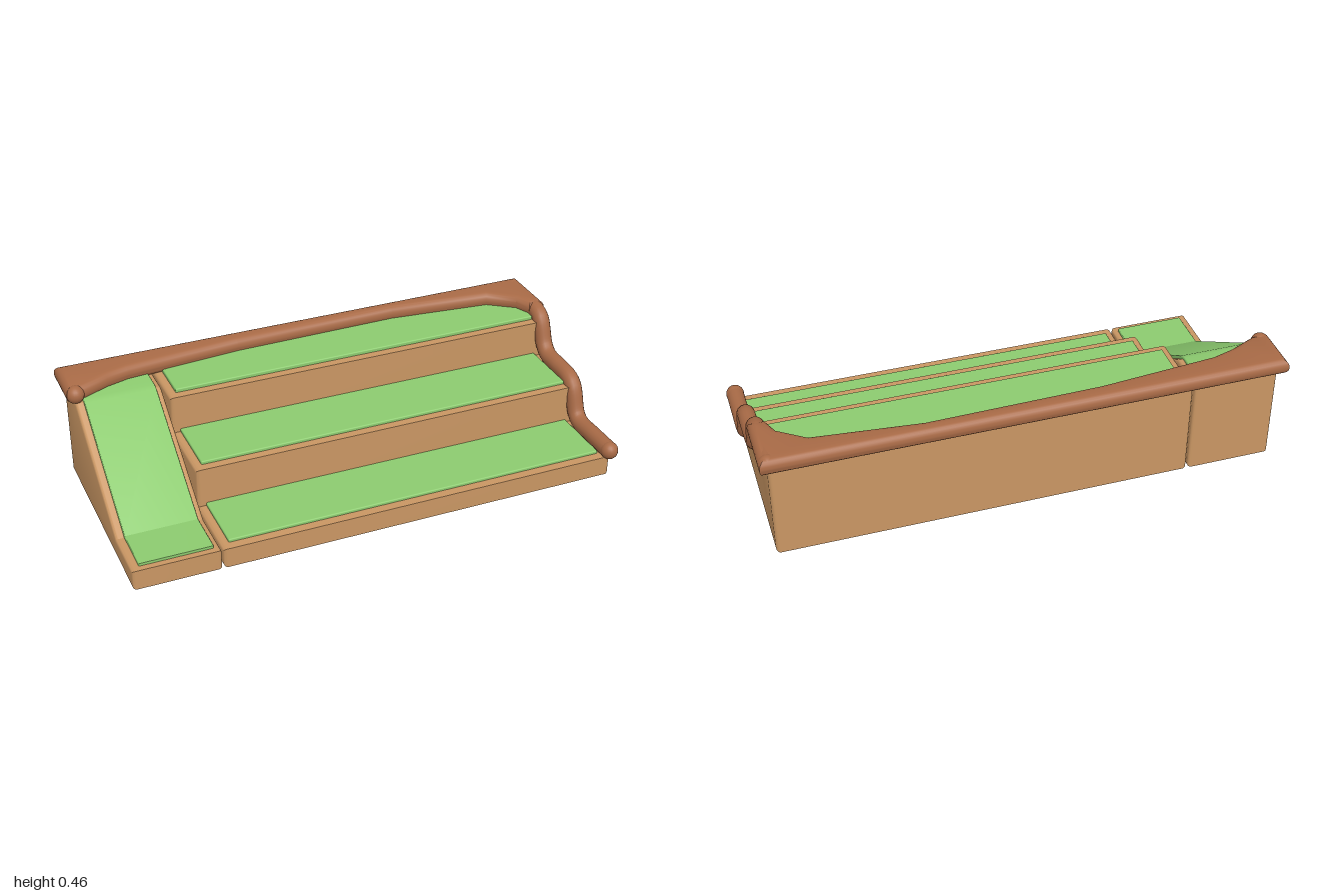
import * as THREE from 'three';
import { toCreasedNormals } from 'three/addons/utils/BufferGeometryUtils.js';
import { RoundedBoxGeometry } from 'three/addons/geometries/RoundedBoxGeometry.js';

const mat = (name, color) => {
  const m = new THREE.MeshStandardMaterial({ color });
  m.name = name;
  return m;
};

// Extrudes an outline with rounded edges that stay inside the outline.
function roundedExtrude(points, size, r, segments = 4) {
  const shape = new THREE.Shape(points.map(([a, b]) => new THREE.Vector2(a, b)));
  const geo = new THREE.ExtrudeGeometry(shape, {
    depth: size - 2 * r, bevelEnabled: true, bevelThickness: r,
    bevelSize: r, bevelOffset: -r, bevelSegments: segments,
  });
  geo.translate(0, 0, r);
  return geo;
}

// Side profile of [z, y] points, extruded from x0 to x1.
function sideProfile(points, x0, x1, r) {
  const geo = roundedExtrude(points.map(([z, y]) => [-z, y]), x1 - x0, r);
  geo.rotateY(Math.PI / 2).translate(x0, 0, 0);
  return toCreasedNormals(geo, 0.5);
}

export function createModel() {
  const model = new THREE.Group();
  const wood = mat('light wood', 0xc99663);
  const felt = mat('green felt', 0x8ccb6f);
  const railWood = mat('dark wood', 0xa86a46);

  const add = (name, geo, material, x = 0, y = 0, z = 0) => {
    const mesh = new THREE.Mesh(geo, material);
    mesh.name = name;
    mesh.position.set(x, y, z);
    model.add(mesh);
    return mesh;
  };

  // Three-step body
  add('stairBody', sideProfile([
    [0.425, 0], [0.425, 0.08], [0.135, 0.08], [0.135, 0.24],
    [-0.15, 0.24], [-0.15, 0.393], [-0.423, 0.393], [-0.423, 0],
  ], -0.632, 0.965, 0.015), wood);

  // Ramp body beside the steps
  add('rampBody', sideProfile([
    [0.425, 0], [0.425, 0.08], [0.215, 0.08],
    [-0.25, 0.393], [-0.423, 0.393], [-0.423, 0],
  ], -0.972, -0.638, 0.012), wood);

  // Step mats: front edge, back edge, top height
  [[0.388, 0.13, 0.092], [0.1, -0.155, 0.253], [-0.185, -0.41, 0.408]].forEach(([z0, z1, top], i) => {
    add(`stepMat${i + 1}`, new RoundedBoxGeometry(1.53, 0.024, z0 - z1, 2, 0.005),
      felt, 0.165, top - 0.012, (z0 + z1) / 2);
  });

  // Ramp mat follows the slope
  add('rampMat', sideProfile([
    [0.4, 0.07], [0.4, 0.091], [0.222, 0.091], [-0.235, 0.398],
    [-0.26, 0.405], [-0.41, 0.405], [-0.41, 0.385], [-0.25, 0.385], [0.21, 0.07],
  ], -0.94, -0.66, 0.004), felt);

  // Back rail with filled corners, outlined in [x, z]
  const outline = [
    [-1, -0.457], [-1, -0.26], [-0.93, -0.26], [-0.83, -0.306], [-0.74, -0.333],
    [-0.28, -0.375], [0.39, -0.388], [0.8, -0.346], [0.9, -0.275],
    [0.928, -0.21], [0.996, -0.21], [0.996, -0.457],
  ];
  const back = roundedExtrude(outline.map(([x, z]) => [x, -z]), 0.067, 0.03, 5);
  back.rotateX(-Math.PI / 2);
  add('backRail', toCreasedNormals(back, 0.6), railWood, 0, 0.389, 0);

  // Handrail stepping down the left side, in [z, y]
  const path = new THREE.CatmullRomCurve3([
    [-0.42, 0.424], [-0.3, 0.42], [-0.21, 0.417], [-0.172, 0.397], [-0.128, 0.3],
    [-0.09, 0.269], [0, 0.262], [0.085, 0.255], [0.118, 0.232], [0.16, 0.13],
    [0.195, 0.106], [0.3, 0.104], [0.42, 0.105],
  ].map(([z, y]) => new THREE.Vector3(0.962, y, z)), false, 'centripetal');
  add('sideRail', new THREE.TubeGeometry(path, 72, 0.034, 16), railWood);

  // Rounded rail ends
  const ball = new THREE.SphereGeometry(0.035, 20, 14);
  add('sideRailFrontEnd', ball, railWood, 0.962, 0.105, 0.42);
  add('sideRailBackEnd', ball, railWood, 0.962, 0.424, -0.421);
  add('backRailEnd', ball, railWood, -0.965, 0.423, -0.27);

  return model;
}
